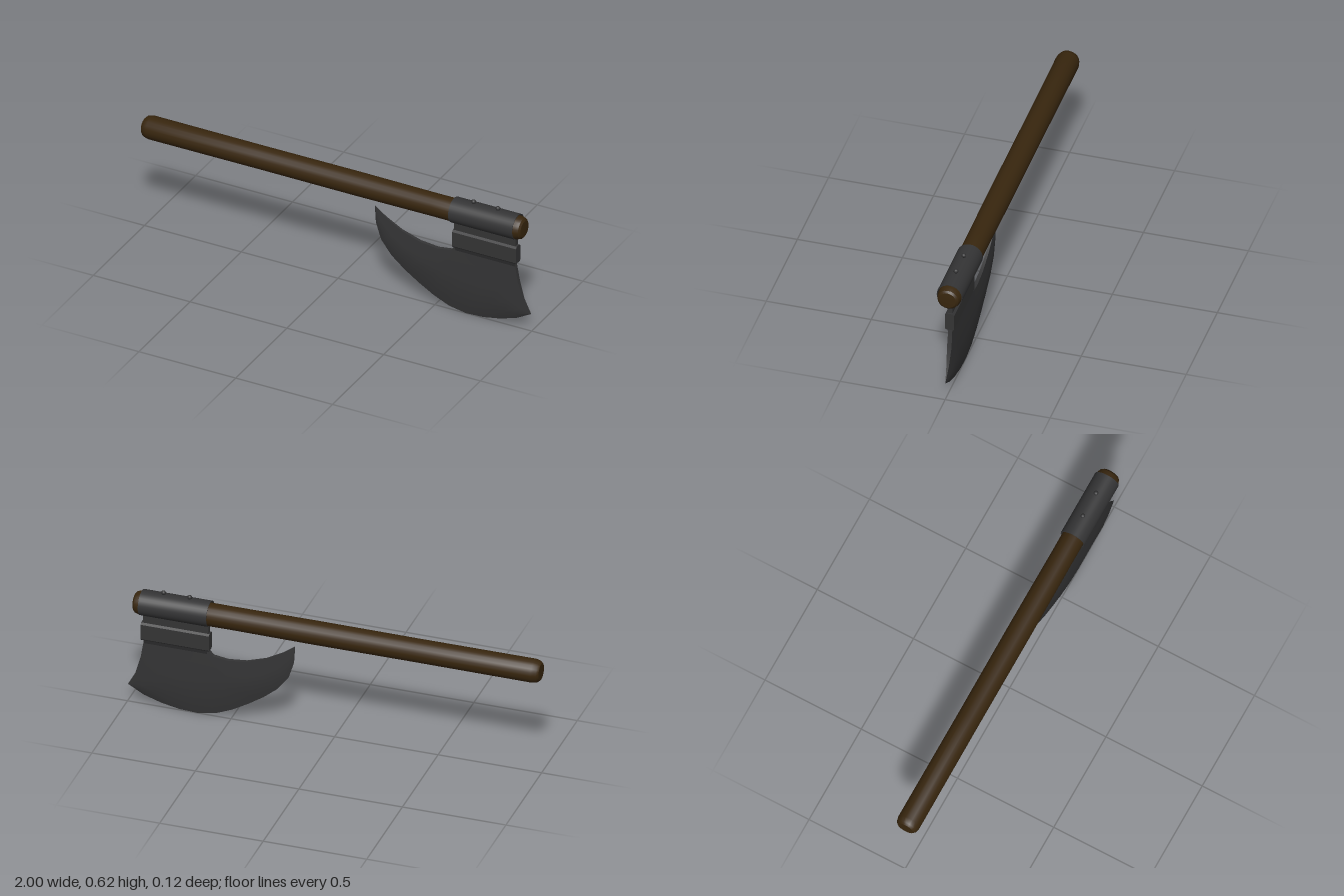
import * as THREE from 'three';
import { toCreasedNormals } from 'three/addons/utils/BufferGeometryUtils.js';

const steel = new THREE.MeshStandardMaterial({ color: 0x343435 });
steel.name = 'dark steel';
const wood = new THREE.MeshStandardMaterial({ color: 0x38260e });
wood.name = 'dark wood';

const vecs = (list) => list.map(([x, y]) => new THREE.Vector2(x, y));

function addMesh(group, name, geometry, material) {
  const mesh = new THREE.Mesh(geometry, material);
  mesh.name = name;
  group.add(mesh);
  return mesh;
}

// Lathe whose axis lies along x; points are [radius, x]
function latheAlongX(points, sides) {
  const g = new THREE.LatheGeometry(vecs(points), sides);
  g.rotateZ(-Math.PI / 2);
  return toCreasedNormals(g, 0.6);
}

// Surface through rows of equally many [x, y, z] points
function loft(rows, flip) {
  const n = rows[0].length;
  const index = [];
  for (let r = 0; r < rows.length - 1; r++) {
    for (let i = 0; i < n - 1; i++) {
      const a = r * n + i, b = a + 1, c = a + n, d = c + 1;
      if (flip) index.push(a, b, c, b, d, c);
      else index.push(a, c, b, b, c, d);
    }
  }
  const g = new THREE.BufferGeometry();
  g.setAttribute('position', new THREE.Float32BufferAttribute(rows.flat(2), 3));
  g.setIndex(index);
  g.computeVertexNormals();
  return g;
}

function createBlade() {
  const blade = new THREE.Group();
  blade.name = 'blade';
  // Back outline from the beard tip, across the neck, to the toe
  const back = vecs([
    [0.19, 0.446], [0.25, 0.4], [0.33, 0.355], [0.425, 0.323], [0.515, 0.313],
    [0.585, 0.323], [0.61, 0.35], [0.72, 0.35], [0.83, 0.35], [0.917, 0.35],
    [0.933, 0.254], [0.96, 0.163], [0.998, 0.094],
  ]);
  const backThickness = [0, 0.004, 0.006, 0.008, 0.009, 0.009, 0.009, 0.009, 0.009, 0.009, 0.011, 0.006, 0];
  const bellyThickness = [0, 0.006, 0.01, 0.013, 0.015, 0.016, 0.016, 0.016, 0.016, 0.016, 0.015, 0.009, 0];
  // Curved cutting edge between the same two tips
  const edge = new THREE.SplineCurve(vecs([
    [0.19, 0.446], [0.195, 0.36], [0.233, 0.254], [0.31, 0.174], [0.4, 0.11], [0.49, 0.056],
    [0.575, 0.019], [0.687, 0.003], [0.81, 0.019], [0.917, 0.05], [0.998, 0.094],
  ])).getSpacedPoints(back.length - 1);

  const row = (v, thickness, side) => back.map((p, i) => {
    const q = p.clone().lerp(edge[i], v);
    return [q.x, q.y, side * thickness(i)];
  });
  for (const side of [1, -1]) {
    const rows = [
      row(0, (i) => backThickness[i], side),
      row(0.22, (i) => backThickness[i] * 0.6 + bellyThickness[i] * 0.4, side),
      row(0.48, (i) => bellyThickness[i], side),
      row(0.75, (i) => bellyThickness[i] * 0.95, side),
      row(1, () => 0, side),
    ];
    addMesh(blade, side > 0 ? 'bladeFront' : 'bladeBack', loft(rows, side < 0), steel);
  }
  // Thin rim closing the back outline
  const rim = loft([row(0, (i) => backThickness[i], -1), row(0, (i) => backThickness[i], 1)], false);
  addMesh(blade, 'bladeRim', toCreasedNormals(rim, 0.6), steel);
  return blade;
}

// Symmetric profile of [half thickness, y], listed downwards, run along x
function slab(profile, x0, x1) {
  const right = profile.map(([z, y]) => [z, y]);
  const left = profile.map(([z, y]) => [-z, y]).reverse();
  const g = new THREE.ExtrudeGeometry(new THREE.Shape(vecs([...right, ...left])), {
    depth: x1 - x0, bevelEnabled: false,
  });
  g.rotateY(Math.PI / 2);
  g.translate(x0, 0, 0);
  return g;
}

export function createModel() {
  const axe = new THREE.Group();
  axe.name = 'axe';

  // Round wooden handle with softened ends
  const handle = addMesh(axe, 'handle', latheAlongX([
    [0, -1], [0.04, -0.998], [0.05, -0.988], [0.056, -0.965], [0.055, -0.4], [0.056, 0.1],
    [0.054, 0.5], [0.056, 0.935], [0.05, 0.955], [0.04, 0.963], [0, 0.966],
  ], 20), wood);
  handle.position.y = 0.537;

  // Steel sleeve around the handle
  const socket = addMesh(axe, 'socket', latheAlongX([
    [0.058, 0.6], [0.061, 0.6], [0.061, 0.93], [0.058, 0.93], [0.058, 0.6],
  ], 32), steel);
  socket.position.y = 0.54;

  // Neck and thicker collar joining sleeve to blade
  addMesh(axe, 'neck', slab([[0.012, 0.485], [0.012, 0.43]], 0.605, 0.922), steel);
  addMesh(axe, 'collar', slab([
    [0.012, 0.439], [0.022, 0.431], [0.022, 0.356], [0.018, 0.35],
  ], 0.6, 0.93), steel);
  addMesh(axe, 'collarFoot', slab([[0.018, 0.352], [0.009, 0.328]], 0.612, 0.918), steel);

  axe.add(createBlade());

  // Two small rivets on top of the sleeve
  for (const x of [0.7, 0.826]) {
    const rivet = addMesh(axe, 'rivet', new THREE.SphereGeometry(0.011, 10, 8), steel);
    rivet.position.set(x, 0.609, 0);
  }
  return axe;
}
